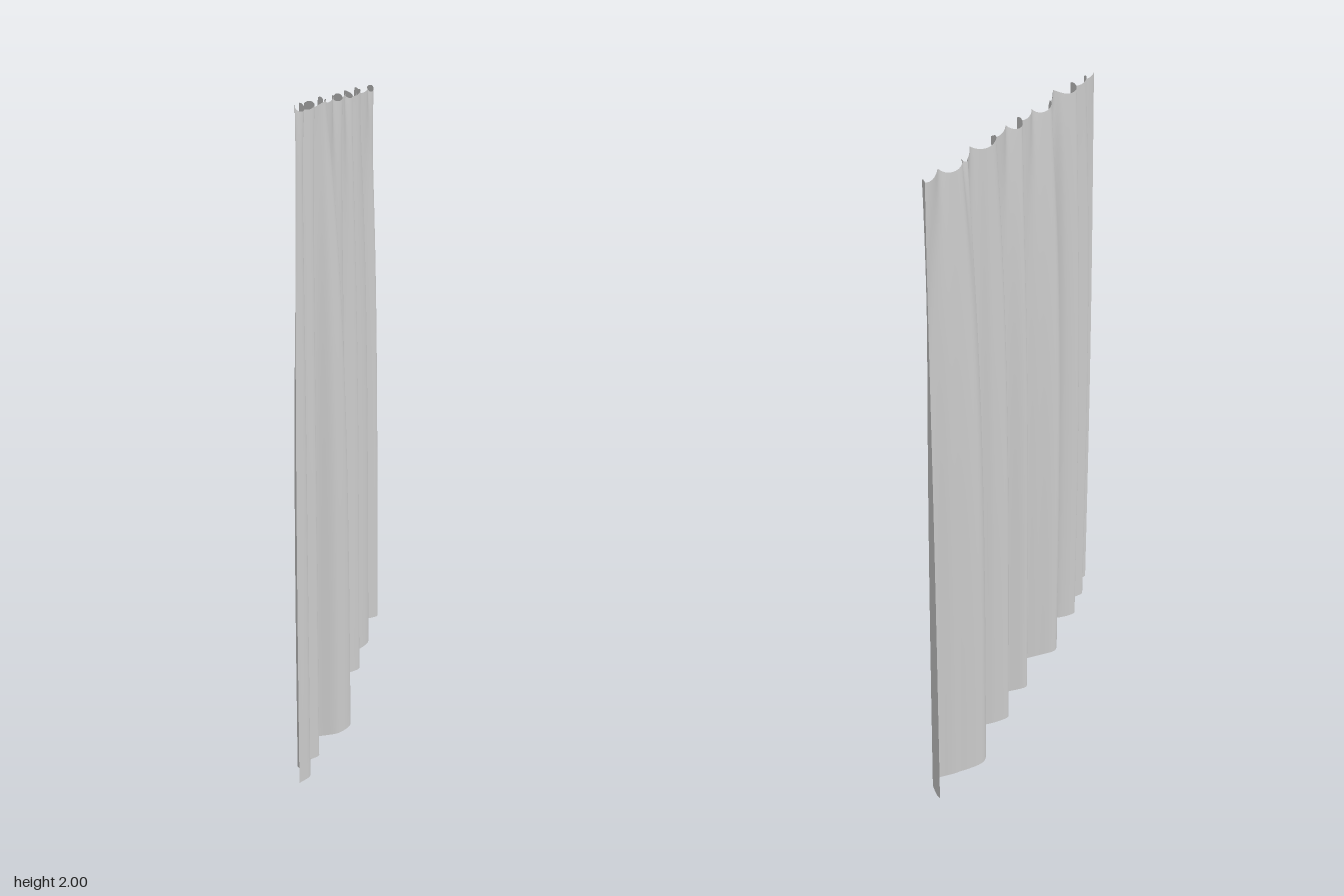
import * as THREE from 'three';

// Main folds from one hem corner to the other: [z at top, z at hem, x at hem]
const FOLDS = [
  [-0.775, -0.758, -0.02], [-0.74, -0.74, 0.0], [-0.68, -0.68, 0.033], [-0.62, -0.62, -0.02],
  [-0.54, -0.535, -0.08], [-0.47, -0.475, -0.06], [-0.445, -0.465, 0.005], [-0.41, -0.42, 0.034],
  [-0.34, -0.34, 0.01], [-0.3, -0.29, -0.035], [-0.24, -0.24, -0.06], [-0.2, -0.2, 0.015],
  [-0.17, -0.17, 0.036], [-0.11, -0.11, 0.0], [-0.05, -0.05, -0.058], [-0.005, 0.0, -0.02],
  [0.04, 0.04, 0.02], [0.09, 0.1, 0.008], [0.14, 0.14, -0.03], [0.22, 0.2, -0.08],
  [0.29, 0.262, -0.05], [0.315, 0.258, 0.03], [0.35, 0.285, 0.066], [0.38, 0.34, 0.078],
  [0.41, 0.4, 0.05], [0.44, 0.44, -0.02], [0.49, 0.495, -0.057], [0.525, 0.525, -0.02],
  [0.56, 0.56, 0.014], [0.6, 0.6, -0.01], [0.65, 0.65, -0.038], [0.71, 0.71, 0.012],
  [0.755, 0.775, -0.01],
];
const PLEAT = 0.128; // spacing of the small gathers at the top

export function createModel() {
  const group = new THREE.Group();
  const curve = (k) => new THREE.CatmullRomCurve3(
    FOLDS.map((f) => new THREE.Vector3(f[2], 0, f[k])), false, 'centripetal');
  const top = curve(0), hem = curve(1);

  // Sheet whose folds deepen downwards and gather into small pleats at the top
  const cols = 288, rows = 56;
  const cloth = new THREE.PlaneGeometry(1, 1, cols, rows);
  const pos = cloth.attributes.position;
  const a = new THREE.Vector3(), b = new THREE.Vector3();
  for (let j = 0; j <= rows; j++) {
    const t = Math.pow(j / rows, 1.5);            // 0 at the top, 1 at the hem
    const depth = 0.28 + 0.72 * (1 - Math.pow(1 - t, 3.2));
    const gather = Math.pow(1 - t, 7);
    for (let i = 0; i <= cols; i++) {
      const u = i / cols;
      top.getPoint(u, a);
      hem.getPoint(u, b);
      const phase = (2 * Math.PI * a.z) / PLEAT + 0.8 * Math.sin(a.z * 9);
      const x = -0.009 * (1 - t) + a.x * depth + 0.011 * gather * Math.sin(phase);
      const bulge = 0.012 * Math.sin(Math.PI * t) * (u > 0.5 ? 1 : 0) * (2 * u - 1);
      const z = THREE.MathUtils.lerp(a.z, b.z, t) + bulge;
      const dip = 0.022 * (0.5 - 0.5 * Math.cos(phase)) * Math.pow(1 - t, 20);
      const lift = 0.006 * (1 + Math.sin(b.z * 8)) * Math.pow(t, 8);
      pos.setXYZ(j * (cols + 1) + i, x, 2 * (1 - t) - dip + lift, z);
    }
  }
  cloth.computeVertexNormals();

  const curtain = new THREE.Mesh(cloth, new THREE.MeshStandardMaterial({
    color: 0xcccccc, side: THREE.DoubleSide,
  }));
  curtain.name = 'curtain';
  group.add(curtain);
  return group;
}
